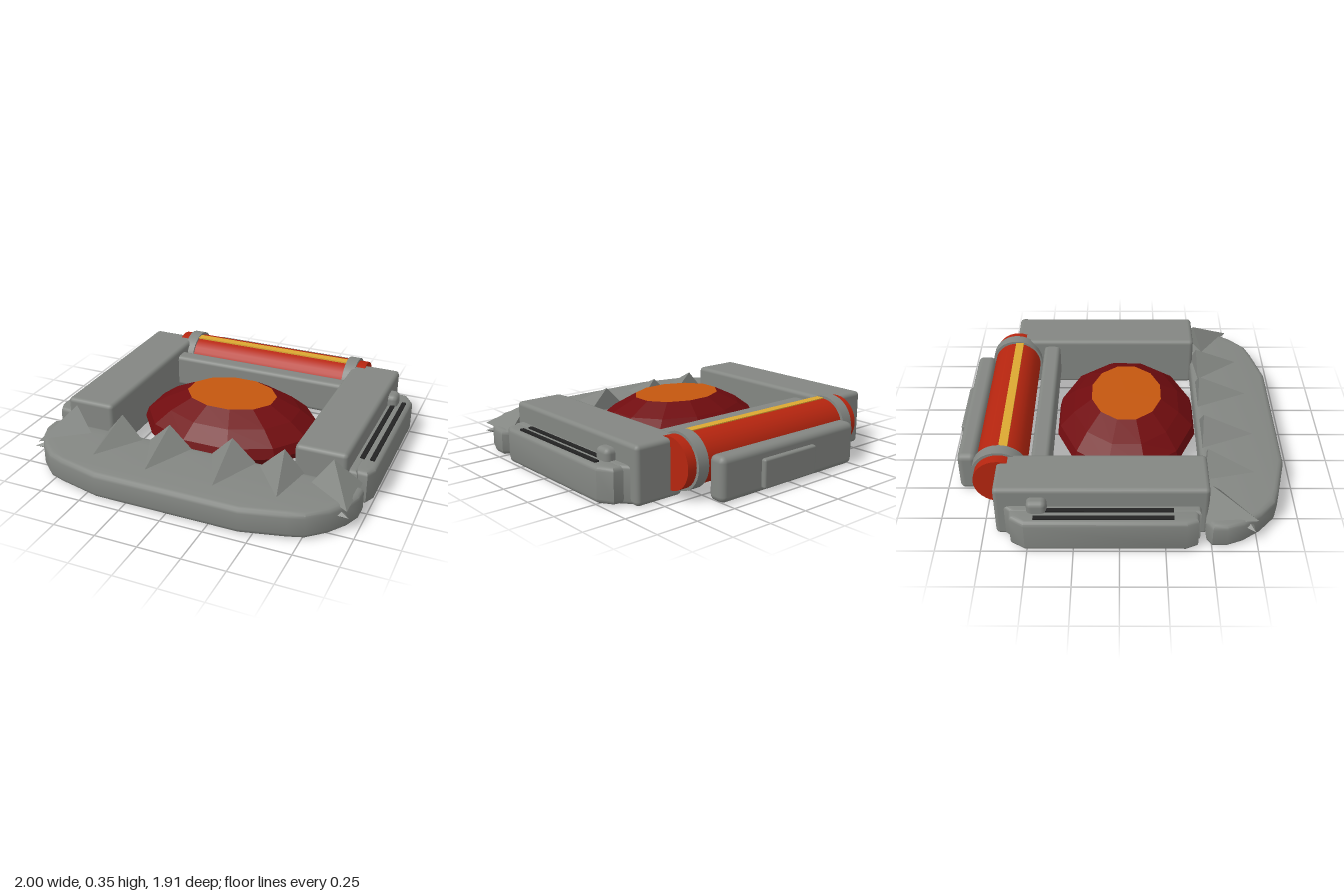
import * as THREE from 'three';
import { toCreasedNormals } from 'three/addons/utils/BufferGeometryUtils.js';
import { RoundedBoxGeometry } from 'three/addons/geometries/RoundedBoxGeometry.js';
import { ConvexGeometry } from 'three/addons/geometries/ConvexGeometry.js';

export function createModel() {
  const group = new THREE.Group();
  const paint = (name, color, flatShading = false) => {
    const m = new THREE.MeshStandardMaterial({ color, flatShading });
    m.name = name;
    return m;
  };
  const steel = paint('grey steel', 0x838682);
  const red = paint('roller red', 0xb5250f);
  const gold = paint('gold', 0xdba832);
  const crimson = paint('dark crimson', 0x700c0f);
  const orange = paint('orange', 0xc4570f);
  const black = paint('black', 0x232323);

  const add = (name, geometry, material) => {
    const mesh = new THREE.Mesh(geometry, material);
    mesh.name = name;
    group.add(mesh);
    return mesh;
  };
  // Box given by its limits on each axis
  const box = (name, [x0, x1], [y0, y1], [z0, z1], radius, material = steel) => {
    const size = [x1 - x0, y1 - y0, z1 - z0];
    const g = radius ? new RoundedBoxGeometry(...size, 2, radius) : new THREE.BoxGeometry(...size);
    g.translate((x0 + x1) / 2, (y0 + y1) / 2, (z0 + z1) / 2);
    return add(name, g, material);
  };
  // Bevelled slab from a plan outline of [x, z] points
  const slab = (name, outline, y0, y1, bevel) => {
    const shape = new THREE.Shape(outline.map(([x, z]) => new THREE.Vector2(x, -z)));
    const g = new THREE.ExtrudeGeometry(shape, {
      depth: y1 - y0 - 2 * bevel, bevelEnabled: true, bevelSize: bevel,
      bevelThickness: bevel, bevelOffset: -bevel, bevelSegments: 3,
    });
    g.rotateX(-Math.PI / 2).translate(0, y0 + bevel, 0);
    return add(name, toCreasedNormals(g, 0.6), steel);
  };
  const span = (s, a, b) => (s > 0 ? [a, b] : [-b, -a]);

  // Curved front jaw
  const half = [[0.93, 0.47], [0.975, 0.5], [0.975, 0.58], [0.94, 0.67], [0.87, 0.77], [0.77, 0.86], [0.68, 0.89], [0.43, 0.95]];
  slab('frontJaw', [...half, ...half.map(([x, z]) => [-x, z]).reverse()], 0.01, 0.165, 0.03);

  // Teeth: two back corners, front tip and apex
  const teeth = [
    [[-0.94, 0.46], [-0.67, 0.56], [-0.92, 0.75], [-0.8, 0.5]],
    [[-0.61, 0.48], [-0.35, 0.51], [-0.54, 0.79], [-0.49, 0.5]],
    [[-0.33, 0.49], [-0.04, 0.49], [-0.19, 0.82], [-0.18, 0.5]],
    [[0.07, 0.49], [0.36, 0.49], [0.22, 0.82], [0.21, 0.5]],
    [[0.37, 0.51], [0.64, 0.48], [0.58, 0.79], [0.52, 0.5]],
    [[0.95, 0.44], [0.69, 0.56], [0.95, 0.74], [0.8, 0.5]],
  ];
  for (const t of teeth) {
    const points = t.map(([x, z], i) => new THREE.Vector3(x, i === 3 ? 0.3 : 0.155, z));
    add('tooth', new ConvexGeometry(points), steel);
  }

  for (const s of [1, -1]) {
    // Side rail with its wider lower step
    box('sideRail', span(s, 0.57, 0.87), [0.005, 0.33], [-0.68, 0.485], 0.025);
    slab('railStep', [[0.65, -0.66], [0.84, -0.66], [0.915, -0.57], [0.915, 0.44], [0.65, 0.44]]
      .map(([x, z]) => [s * x, z]), 0.005, 0.215, 0.02);

    // Outer pod with knob and two dark slots
    slab('sidePod', [[0.86, -0.6], [0.95, -0.59], [1, -0.51], [1, 0.36], [0.97, 0.425], [0.86, 0.43]]
      .map(([x, z]) => [s * x, z]), 0.01, 0.212, 0.025);
    box('podKnob', span(s, 0.84, 0.925), [0.18, 0.28], [-0.5, -0.39], 0.03);
    for (const x of [0.888, 0.945]) {
      box('podSlot', span(s, x, x + 0.026), [0.212, 0.221], [-0.46, 0.29], 0, black);
    }

    // Small stud on the jaw's corner
    const stud = new THREE.ConeGeometry(0.05, 0.11, 4).toNonIndexed();
    stud.computeVertexNormals();
    stud.scale(0.75, 1, 1).rotateZ(-s * Math.PI / 2).rotateY(-s * 0.5).translate(s * 0.91, 0.11, 0.705);
    add('jawStud', stud, steel);

    // Roller collar
    const collar = new THREE.CylinderGeometry(0.16, 0.16, 0.07, 32).rotateZ(Math.PI / 2);
    add('rollerCollar', collar.translate(s * 0.563, 0.196, -0.678), steel);
  }

  // Rear cross bar, roller and gold stripe
  box('crossBar', [-0.6, 0.6], [0.08, 0.29], [-0.5, -0.395], 0.025);
  const roller = new THREE.CylinderGeometry(0.146, 0.146, 1.31, 32).rotateZ(Math.PI / 2);
  add('roller', roller.translate(0, 0.195, -0.675), red);
  box('rollerStripe', [-0.53, 0.53], [0.337, 0.346], [-0.68, -0.63], 0, gold);

  // Back plate with raised panel
  box('backPlate', [-0.51, 0.52], [0.005, 0.255], [-0.93, -0.82], 0.035);
  box('backPanel', [-0.16, 0.24], [0.03, 0.195], [-0.957, -0.9], 0.012);

  // Faceted gem with an orange crown
  const profile = [[0, 0.04], [0.86, 0.04], [1, 0.12], [0.96, 0.18], [0.76, 0.26], [0.5, 0.33]];
  const facet = (name, pts, material) => {
    const lathe = new THREE.LatheGeometry(pts.map(([r, y]) => new THREE.Vector2(r, y)), 12, Math.PI / 12);
    const g = lathe.toNonIndexed().scale(0.56, 1, 0.43).translate(0.01, 0, 0.04);
    g.computeVertexNormals();
    add(name, g, material);
  };
  facet('gem', profile, crimson);
  facet('gemCrown', [[0.5, 0.33], [0, 0.332]], orange);

  return group;
}
